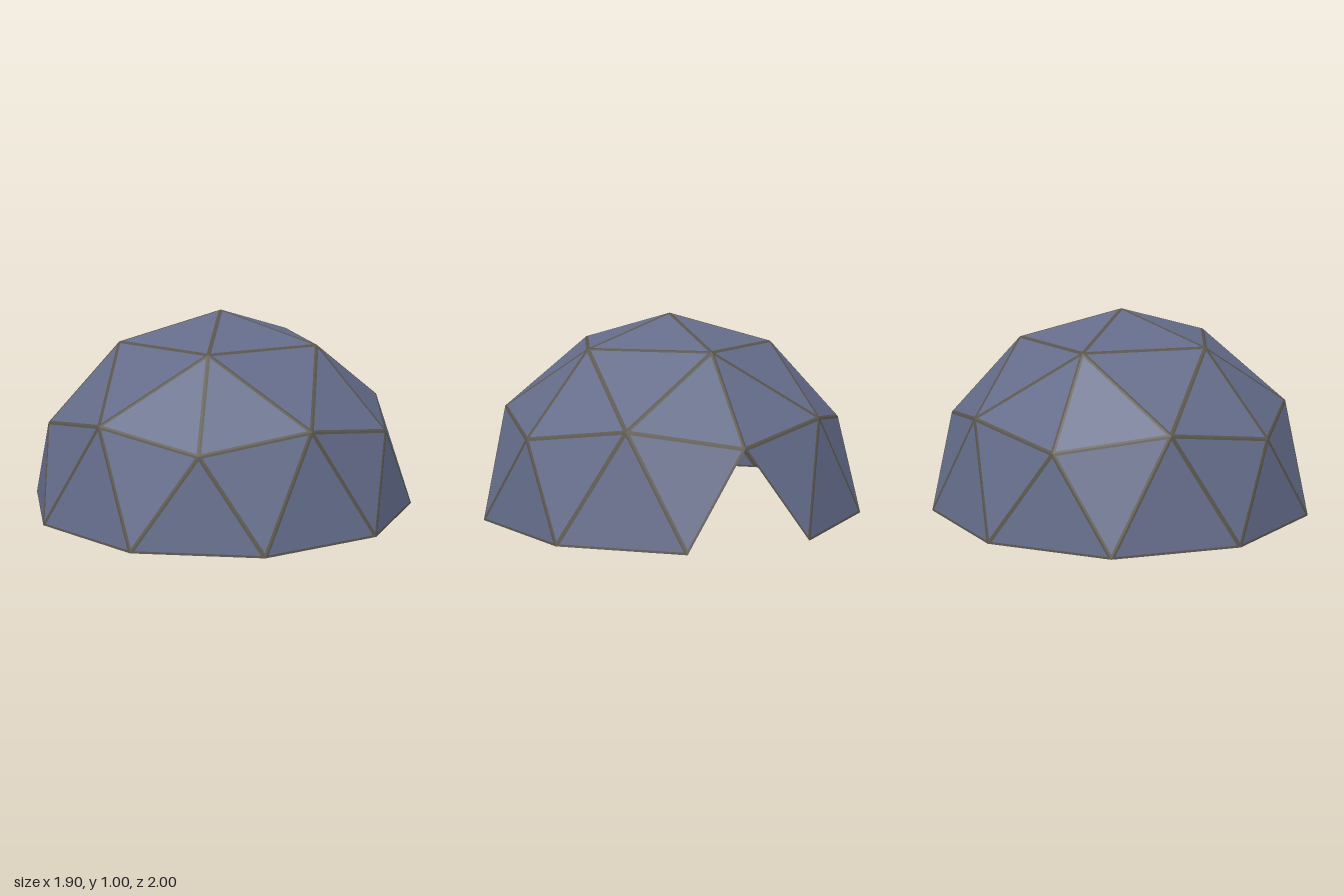
import * as THREE from 'three';

const STRUT = 0.0105; // strut width on each side of an edge

// point on a horizontal ring of the dome, angle in degrees from +x towards +z
function ringPoint(radius, y, degrees) {
  const a = THREE.MathUtils.degToRad(degrees);
  return new THREE.Vector3(radius * Math.cos(a), y, radius * Math.sin(a));
}

// flat-faced mesh from a list of triangles, each wound to face outwards
function facetMesh(name, triangles, material) {
  const points = [];
  for (const [a, b, c] of triangles) {
    const normal = b.clone().sub(a).cross(c.clone().sub(a));
    const outward = normal.dot(a.clone().add(b).add(c)) > 0;
    points.push(...(outward ? [a, b, c] : [a, c, b]));
  }
  const geometry = new THREE.BufferGeometry().setFromPoints(points);
  geometry.computeVertexNormals();
  const mesh = new THREE.Mesh(geometry, material);
  mesh.name = name;
  return mesh;
}

// centre of the inscribed circle and its radius
function incircle(a, b, c) {
  const la = b.distanceTo(c), lb = c.distanceTo(a), lc = a.distanceTo(b);
  const perimeter = la + lb + lc;
  const centre = new THREE.Vector3()
    .addScaledVector(a, la / perimeter)
    .addScaledVector(b, lb / perimeter)
    .addScaledVector(c, lc / perimeter);
  const doubleArea = b.clone().sub(a).cross(c.clone().sub(a)).length();
  return { centre, radius: doubleArea / perimeter };
}

export function createModel() {
  const panelMaterial = new THREE.MeshStandardMaterial({ color: 0x646c8a, side: THREE.DoubleSide });
  panelMaterial.name = 'slate blue panel';
  const strutMaterial = new THREE.MeshStandardMaterial({ color: 0x59554d, side: THREE.DoubleSide });
  strutMaterial.name = 'grey brown strut';

  // rings of the two-frequency geodesic dome
  const apex = new THREE.Vector3(0, 1, 0);
  const upper = (d) => ringPoint(0.526, 0.851, d);
  const middle = (d) => ringPoint(0.851, 0.526, d);
  const hub = (d) => ringPoint(0.894, 0.447, d);
  const base = (d) => ringPoint(1, 0, d);

  const facets = [];
  for (let k = 0; k < 5; k++) {
    const d = k * 72;
    const u1 = upper(d), u2 = upper(d + 72), m = middle(d + 36);
    const h1 = hub(d), h2 = hub(d + 72);
    const b0 = base(d - 18), b1 = base(d + 18), b2 = base(d + 54);
    facets.push(
      [apex, u1, u2], [u1, u2, m], [u1, h1, m], [u2, m, h2],
      [m, h1, b1], [m, h2, b2], [m, b1, b2]
    );
    // the last of these is left open as the doorway at the back
    if (k < 4) facets.push([h1, b0, b1]);
  }

  // each facet is an inset panel with a strut border in the same plane
  const panels = [];
  const struts = [];
  for (const facet of facets) {
    const { centre, radius } = incircle(...facet);
    const inner = facet.map((p) => p.clone().lerp(centre, STRUT / radius));
    panels.push(inner);
    for (let i = 0; i < 3; i++) {
      const j = (i + 1) % 3;
      struts.push([facet[i], facet[j], inner[j]], [facet[i], inner[j], inner[i]]);
    }
  }

  const dome = new THREE.Group();
  dome.name = 'geodesicDome';
  dome.add(facetMesh('domePanels', panels, panelMaterial));
  dome.add(facetMesh('domeStruts', struts, strutMaterial));
  return dome;
}
